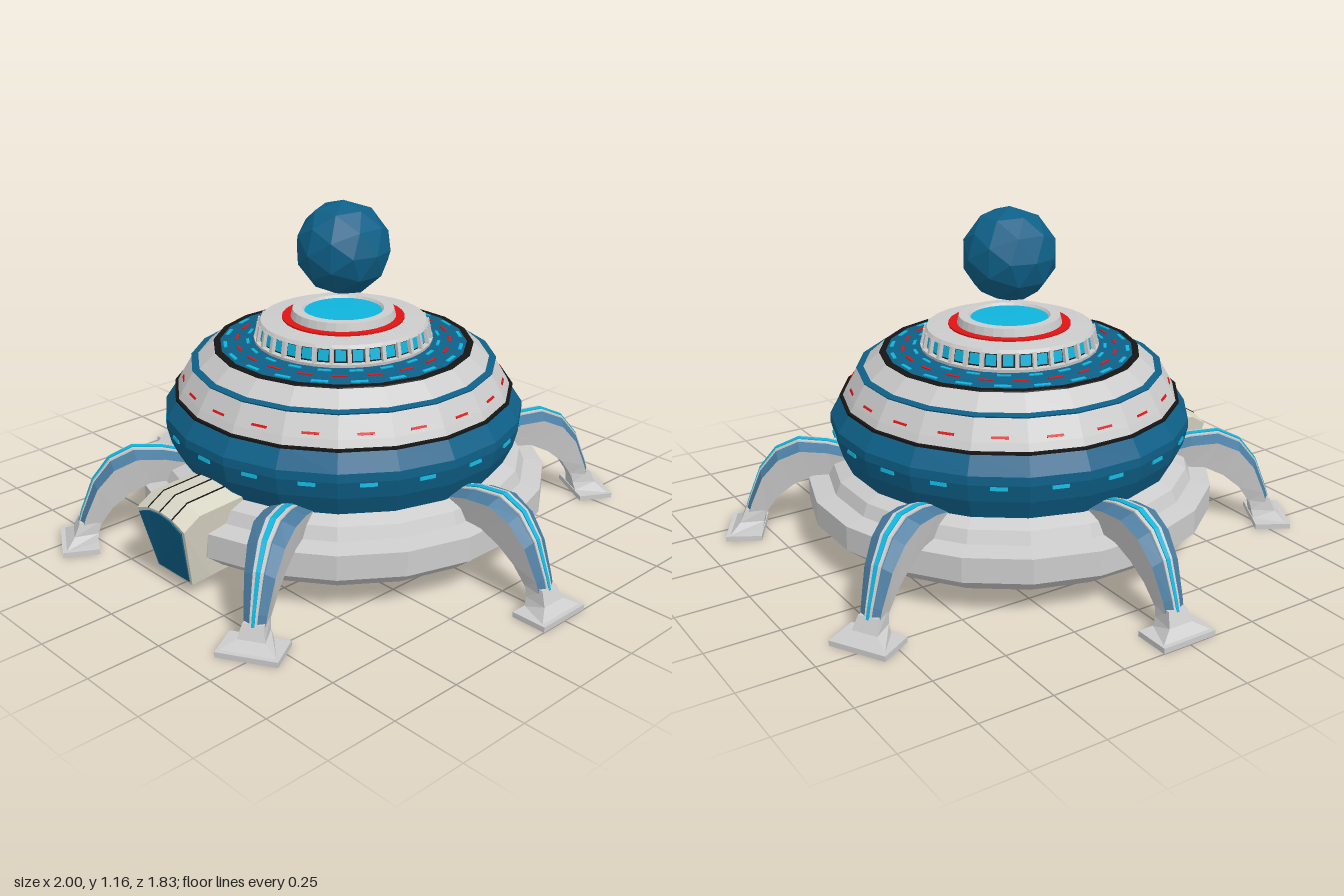
import * as THREE from 'three';

const SIDES = 20;
const GREY = 0xcccccc, BLUE = 0x0e6088, SOFT_BLUE = 0x4a7ca0, CYAN = 0x10b4dc,
  RED = 0xe01414, BEIGE = 0xd8d5c4, DARK = 0x151515;

function mesh(name, geometry, color) {
  const material = new THREE.MeshStandardMaterial({ color, flatShading: true });
  const m = new THREE.Mesh(geometry, material);
  m.name = name;
  return m;
}

// Faceted ring turned around y, profile given as [radius, height] from bottom to top
function turned(name, profile, color, sides = SIDES) {
  const pts = profile.map(([r, y]) => new THREE.Vector2(r, y));
  return mesh(name, new THREE.LatheGeometry(pts, sides, Math.PI / sides), color);
}

// Closed solid through a row of equal-sized loops, turned outward by its volume sign
function loft(name, rings, color) {
  const n = rings[0].length, tris = [], last = rings.length - 1;
  for (let i = 0; i < last; i++) {
    for (let j = 0; j < n; j++) {
      const k = (j + 1) % n;
      const a = rings[i][j], b = rings[i][k], c = rings[i + 1][k], d = rings[i + 1][j];
      tris.push([a, b, c], [a, c, d]);
    }
  }
  for (let j = 1; j < n - 1; j++) {
    tris.push([rings[0][0], rings[0][j + 1], rings[0][j]]);
    tris.push([rings[last][0], rings[last][j], rings[last][j + 1]]);
  }
  let volume = 0;
  for (const t of tris) {
    const [a, b, c] = t.map(p => new THREE.Vector3(...p));
    volume += a.dot(b.cross(c));
  }
  if (volume < 0) tris.forEach(t => t.reverse());
  const g = new THREE.BufferGeometry();
  g.setAttribute('position', new THREE.Float32BufferAttribute(tris.flat(2), 3));
  g.computeVertexNormals();
  return mesh(name, g, color);
}

// Boxes set around y, each tilted back by the slope of the surface below it
function around(name, count, size, radius, y, tilt, color, offset = 0) {
  const group = new THREE.Group();
  group.name = name;
  const geometry = new THREE.BoxGeometry(...size);
  for (let i = 0; i < count; i++) {
    const arm = new THREE.Group();
    const box = mesh(name + 'Piece', geometry, color);
    box.position.set(0, y, radius);
    box.rotation.x = tilt;
    arm.rotation.y = ((i + offset) / count) * Math.PI * 2;
    arm.add(box);
    group.add(arm);
  }
  return group;
}

// Leg reaching along +x
function makeLeg() {
  const leg = new THREE.Group();
  leg.name = 'leg';
  const outer = [[.55, .31], [.64, .335], [.74, .345], [.82, .31], [.88, .235], [.925, .12], [.955, .02]];
  const inner = [[.55, .22], [.62, .23], [.69, .225], [.76, .19], [.82, .14], [.86, .08], [.885, .02]];
  const width = [.07, .07, .068, .06, .05, .038, .03];
  // Strip between two depths (0 inner, 1 outer) with a share of the leg width at each
  const strip = (name, d0, s0, d1, s1, color) => loft(name, outer.map((o, i) => {
    const at = (d, s) => [
      inner[i][0] + (o[0] - inner[i][0]) * d,
      inner[i][1] + (o[1] - inner[i][1]) * d,
      s * width[i]];
    return [at(d0, -s0), at(d0, s0), at(d1, s1), at(d1, -s1)];
  }), color);
  leg.add(
    strip('legCore', 0, .8, .8, 1, GREY),
    strip('legCover', .8, 1, .96, .4, SOFT_BLUE),
    strip('legRib', .75, .38, 1, .34, GREY),
    strip('legLight', .8, .14, 1.03, .14, CYAN));
  // Foot pad with a flared ankle
  const pad = mesh('footPad', new THREE.BoxGeometry(.125, .018, .2), GREY);
  pad.position.set(.9375, .009, 0);
  const loop = (x0, x1, y, w0, w1) => [[x0, y, -w0], [x0, y, w0], [x1, y, w1], [x1, y, -w1]];
  leg.add(pad, loft('ankle', [
    loop(.878, .985, .018, .045, .09), loop(.872, .955, .045, .034, .045), loop(.862, .935, .09, .03, .034)], GREY));
  return leg;
}

function makeDoorway() {
  const group = new THREE.Group();
  group.name = 'doorway';
  // Arched section; z differs between the roof and the sill
  const section = (zTop, zSill, eave, sill, w, ws) => [
    [-ws, sill, zSill], [ws, sill, zSill], [w, eave, zTop],
    [w / 2, eave + .022, zTop], [0, eave + .028, zTop], [-w / 2, eave + .022, zTop], [-w, eave, zTop]];
  group.add(
    loft('porch', [
      section(.55, .55, .305, .06, .125, .095),
      section(.735, .68, .295, .05, .125, .095),
      section(.797, .75, .258, .042, .125, .092)], BEIGE),
    loft('door', [
      section(.785, .74, .25, .052, .11, .082),
      section(.801, .755, .25, .052, .11, .082)], BLUE));
  // Roof seams following the slope
  for (const x of [-.0625, 0, .0625]) {
    const lift = x ? .022 : .028;
    const loop = (y, z) => [[x - .002, y, z], [x + .002, y, z], [x + .002, y + .004, z], [x - .002, y + .004, z]];
    group.add(loft('roofSeam', [
      loop(.303 + lift, .56), loop(.293 + lift, .735), loop(.256 + lift, .797)], DARK));
  }
  return group;
}

export function createModel() {
  const model = new THREE.Group();
  model.name = 'saucerBase';

  // Stacked hull bands
  model.add(
    turned('baseRing', [[0, .075], [.64, .075], [.708, .13], [.708, .215], [.64, .228], [.622, .27], [.575, .292]], GREY),
    turned('blueHull', [[.575, .29], [.608, .36], [.623, .42], [.622, .45], [.58, .513]], BLUE),
    turned('hullSeam', [[.57, .508], [.588, .508], [.588, .516], [.57, .516]], DARK),
    turned('lowerShoulder', [[.578, .514], [.565, .54], [.525, .608], [.5, .608]], GREY),
    turned('shoulderBand', [[.525, .606], [.528, .612], [.5, .617], [.49, .617]], BLUE),
    turned('upperShoulder', [[.505, .615], [.45, .664], [.43, .666]], GREY),
    turned('deckRim', [[.45, .66], [.447, .668], [.425, .669]], DARK),
    turned('deck', [[.435, .667], [.28, .683]], BLUE));

  // Light dashes on the hull and the deck
  model.add(
    around('hullLights', SIDES, [.055, .012, .008], .614, .41, -.15, CYAN),
    around('shoulderMarks', SIDES, [.055, .008, .008], .549, .553, -.53, RED),
    around('outerDeckLights', SIDES, [.055, .006, .012], .405, .67, .1, CYAN),
    around('deckMarks', SIDES, [.05, .006, .008], .365, .674, .1, RED, .5),
    around('innerDeckLights', SIDES, [.045, .006, .01], .328, .678, .1, CYAN));

  // Turret with a ring of windows between ribs
  model.add(
    turned('turretFoot', [[.305, .67], [.308, .69], [.29, .692]], GREY, 32),
    turned('turretWall', [[.292, .688], [.282, .74]], DARK, 32),
    around('turretWindows', 32, [.034, .036, .008], .286, .715, -.19, CYAN),
    around('turretRibs', 32, [.013, .056, .022], .29, .713, -.19, GREY, .5),
    turned('turretTop', [[.28, .736], [.292, .738], [.284, .75], [.2, .755], [.182, .755],
      [.174, .787], [.14, .787], [.132, .776]], GREY, 32),
    turned('redRing', [[.21, .753], [.21, .76], [.176, .76]], RED, 32),
    turned('glowDisc', [[.14, .778], [0, .779]], CYAN, 32));

  // Floating orb
  const orb = mesh('orb', new THREE.IcosahedronGeometry(.163, 1), BLUE);
  orb.position.y = .998;
  model.add(orb);

  // Six legs and the front doorway
  for (let i = 0; i < 6; i++) {
    const leg = makeLeg();
    leg.rotation.y = i * Math.PI / 3;
    model.add(leg);
  }
  model.add(makeDoorway());
  return model;
}
